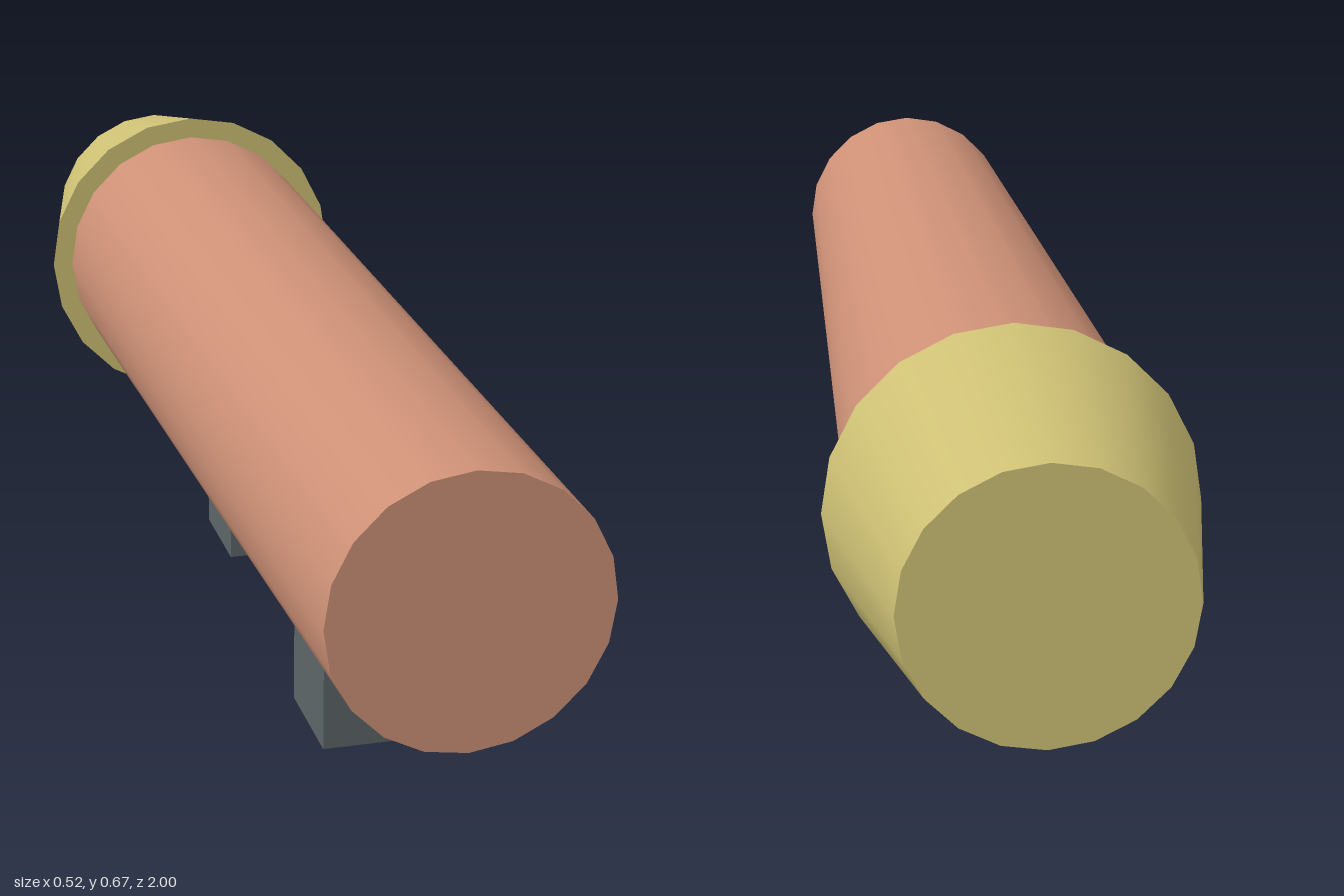
import * as THREE from 'three';

const AXIS_Y = 0.405;

export function createModel() {
  const model = new THREE.Group();
  const mat = (name, color) => {
    const m = new THREE.MeshStandardMaterial({ color });
    m.name = name;
    return m;
  };
  const copper = mat('copper', 0xcd9076);
  const brass = mat('brass', 0xcdc074);
  const steel = mat('steel', 0x5b6567);

  const add = (name, geometry, material, x, y, z) => {
    const mesh = new THREE.Mesh(geometry, material);
    mesh.name = name;
    mesh.position.set(x, y, z);
    model.add(mesh);
  };

  // Tapered tube section lying along z, from zBack to zFront
  const taper = (name, material, rFront, rBack, zFront, zBack) => {
    const g = new THREE.CylinderGeometry(rFront, rBack, zFront - zBack, 20);
    g.rotateX(Math.PI / 2);
    add(name, g, material, 0, AXIS_Y, (zFront + zBack) / 2);
  };

  // Long body, widening towards the rear
  taper('body', copper, 0.192, 0.227, 1, -0.66);
  // Flared cap narrowing to the rear
  taper('rearCap', brass, 0.262, 0.192, -0.65, -1);

  // Mounting blocks under the body: [name, bottom, centre z]
  for (const [name, bottom, z] of [['frontMount', 0, 0.475], ['rearMount', 0.055, -0.12]]) {
    const height = 0.24 - bottom;
    add(name, new THREE.BoxGeometry(0.14, height, 0.17), steel, 0, bottom + height / 2, z);
  }
  return model;
}
